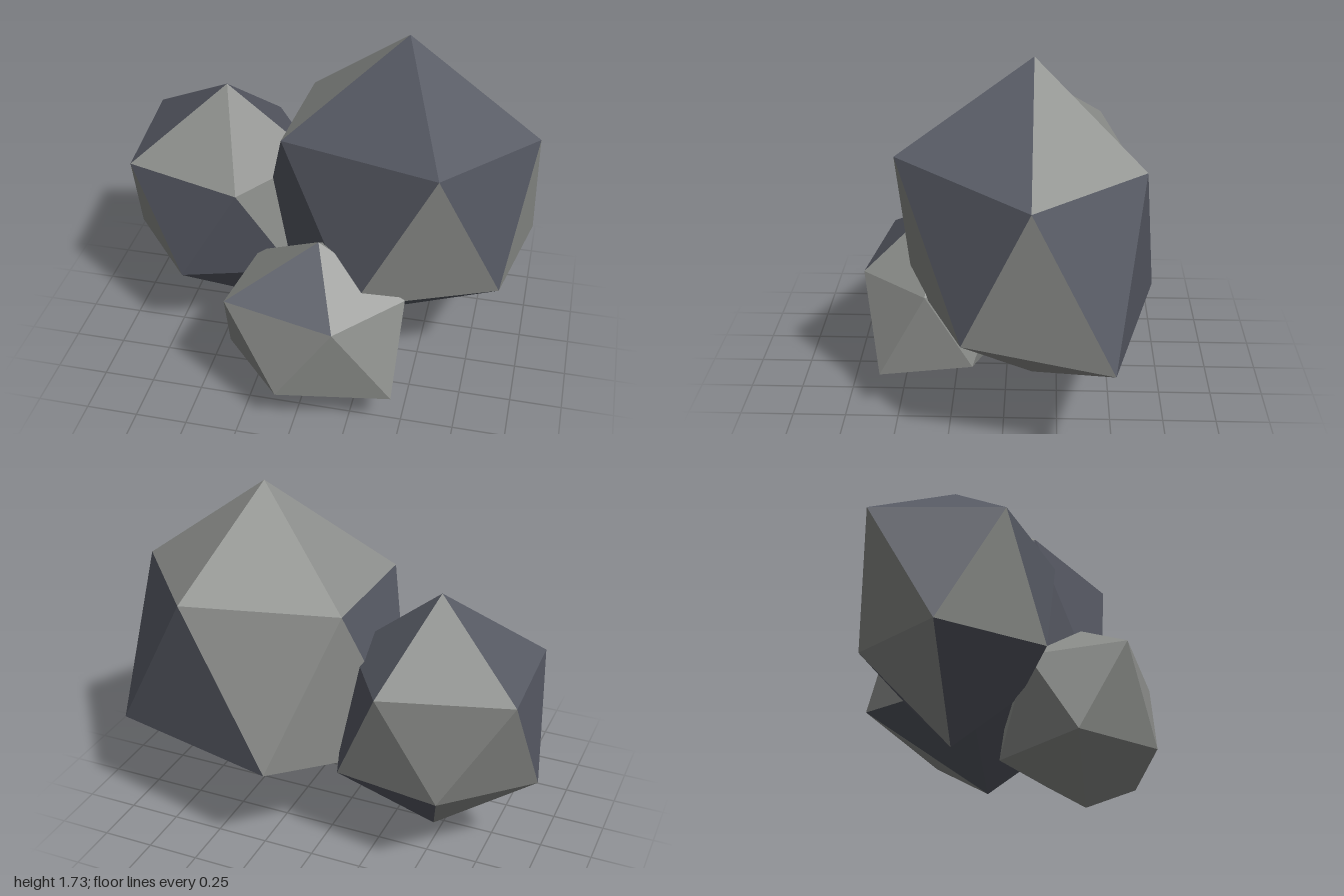
import * as THREE from 'three';

const grey = new THREE.MeshStandardMaterial({ color: 0x8a8c89 });
const slate = new THREE.MeshStandardMaterial({ color: 0x565963 });
grey.name = 'grey stone';
slate.name = 'slate stone';

// A boulder is an uneven icosahedron: top point, two rings of five, bottom point.
// pattern: colours of the cap, upper band, lower band and base, five faces each (g grey, s slate).
function boulder(name, top, upper, lower, bottom, pattern) {
  const faces = [[], [], [], []];
  for (let i = 0; i < 5; i++) {
    const j = (i + 1) % 5;
    faces[0].push([top, upper[j], upper[i]]);
    faces[1].push([upper[i], upper[j], lower[i]]);
    faces[2].push([lower[i], upper[j], lower[j]]);
    faces[3].push([bottom, lower[i], lower[j]]);
  }
  const geometry = new THREE.BufferGeometry();
  geometry.setAttribute('position', new THREE.Float32BufferAttribute(faces.flat(3), 3));
  geometry.computeVertexNormals(); // unshared corners give flat facets
  [...pattern.replaceAll(' ', '')].forEach((c, k) => geometry.addGroup(k * 3, 3, c === 's' ? 1 : 0));
  const mesh = new THREE.Mesh(geometry, [grey, slate]);
  mesh.name = name;
  return mesh;
}

export function createModel() {
  const group = new THREE.Group();
  group.name = 'rocks';

  // Tall boulder
  group.add(boulder('largeRock', [0.375, 1.73, -0.13],
    [[1, 1.265, -0.13], [0.61, 1.355, 0.46], [-0.155, 1.28, 0.165], [-0.13, 1.27, -0.42], [0.575, 1.28, -0.62]],
    [[0.89, 0.6, 0.17], [0.24, 0.6, 0.44], [-0.36, 0.47, -0.13], [0.14, 0.54, -0.7], [1, 0.53, -0.49]],
    [0.375, 0.18, -0.13], 'ssggg sssgs gsgsg sssgg'));

  // Middle boulder
  group.add(boulder('mediumRock', [-0.505, 1.35, -0.175],
    [[-0.07, 1, -0.175], [-0.35, 1.01, 0.27], [-0.92, 1.015, 0.11], [-0.955, 1.035, -0.48], [-0.355, 1, -0.6]],
    [[-0.12, 0.48, 0.08], [-0.65, 0.49, 0.25], [-1, 0.48, -0.175], [-0.64, 0.505, -0.56], [-0.12, 0.48, -0.46]],
    [-0.505, 0.11, -0.175], 'ggsgs gssgs sgggg ssgsg'));

  // Small front boulder
  group.add(boulder('smallRock', [0.065, 0.885, 0.36],
    [[0.475, 0.615, 0.36], [0.195, 0.61, 0.675], [-0.33, 0.645, 0.585], [-0.28, 0.62, 0.13], [0.18, 0.62, 0]],
    [[0.46, 0.2, 0.585], [-0.07, 0.22, 0.695], [-0.38, 0.22, 0.36], [-0.07, 0.195, -0.02], [0.41, 0.22, 0.15]],
    [0.065, 0, 0.36], 'gsgsg ggggg ggggg ggggg'));

  return group;
}
